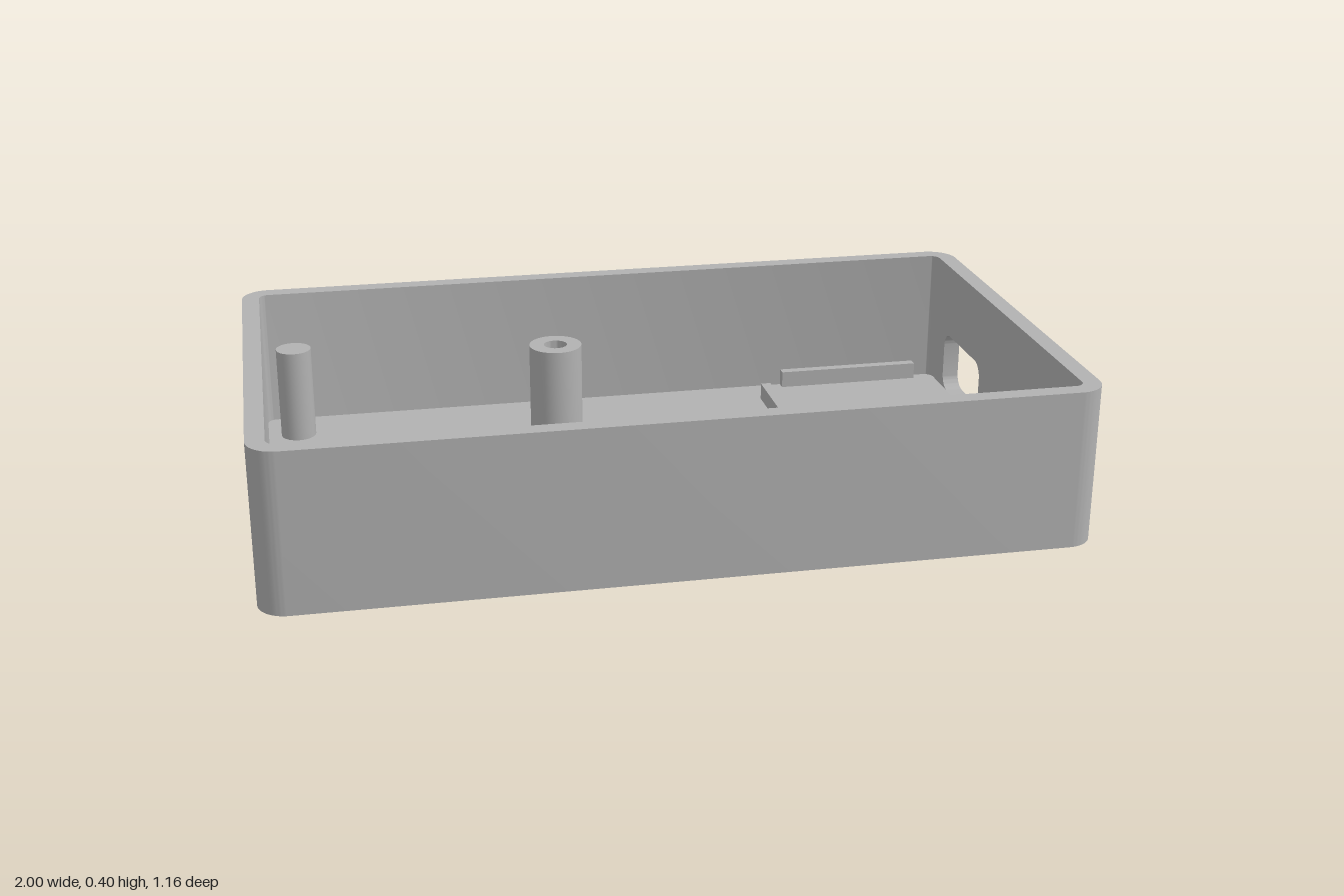
import * as THREE from 'three';
import { toCreasedNormals } from 'three/addons/utils/BufferGeometryUtils.js';

const W = 1, D = 0.58, H = 0.4;      // outer half width, half depth, height
const IW = 0.955, ID = 0.536;        // inner half sizes
const R = 0.07, IR = 0.025;          // outer and inner corner radii
const FLOOR = 0.04;

// Rounded rectangle between two corners
function roundedRect(path, x0, y0, x1, y1, r) {
  path.moveTo(x0 + r, y0);
  path.lineTo(x1 - r, y0);
  path.absarc(x1 - r, y0 + r, r, -Math.PI / 2, 0, false);
  path.lineTo(x1, y1 - r);
  path.absarc(x1 - r, y1 - r, r, 0, Math.PI / 2, false);
  path.lineTo(x0 + r, y1);
  path.absarc(x0 + r, y1 - r, r, Math.PI / 2, Math.PI, false);
  path.lineTo(x0, y0 + r);
  path.absarc(x0 + r, y0 + r, r, Math.PI, Math.PI * 1.5, false);
  return path;
}

function extrude(shape, depth) {
  const g = new THREE.ExtrudeGeometry(shape, { depth, bevelEnabled: false, curveSegments: 10 });
  return toCreasedNormals(g, 0.6);
}

export function createModel() {
  const model = new THREE.Group();
  model.name = 'enclosureTray';
  const plastic = new THREE.MeshStandardMaterial({ color: 0xb2b2b2 });
  plastic.name = 'grey plastic';

  const add = (name, geometry, x = 0, y = 0, z = 0) => {
    const mesh = new THREE.Mesh(geometry, plastic);
    mesh.name = name;
    mesh.position.set(x, y, z);
    model.add(mesh);
  };

  // Walls on three sides with all four corners, open where the port panel sits
  const E = 0.5;
  const wall = new THREE.Shape();
  wall.moveTo(W, E);
  wall.lineTo(W, D - R);
  wall.absarc(W - R, D - R, R, 0, Math.PI / 2, false);
  wall.lineTo(-W + R, D);
  wall.absarc(-W + R, D - R, R, Math.PI / 2, Math.PI, false);
  wall.lineTo(-W, -D + R);
  wall.absarc(-W + R, -D + R, R, Math.PI, Math.PI * 1.5, false);
  wall.lineTo(W - R, -D);
  wall.absarc(W - R, -D + R, R, -Math.PI / 2, 0, false);
  wall.lineTo(W, -E);
  wall.lineTo(IW, -E);
  wall.lineTo(IW, -ID + IR);
  wall.absarc(IW - IR, -ID + IR, IR, 0, -Math.PI / 2, true);
  wall.lineTo(-IW + IR, -ID);
  wall.absarc(-IW + IR, -ID + IR, IR, -Math.PI / 2, -Math.PI, true);
  wall.lineTo(-IW, ID - IR);
  wall.absarc(-IW + IR, ID - IR, IR, Math.PI, Math.PI / 2, true);
  wall.lineTo(IW - IR, ID);
  wall.absarc(IW - IR, ID - IR, IR, Math.PI / 2, 0, true);
  wall.lineTo(IW, E);
  add('walls', extrude(wall, H).rotateX(-Math.PI / 2));

  // Side panel with the rounded port opening
  const panel = new THREE.Shape();
  panel.moveTo(-E, 0);
  panel.lineTo(E, 0);
  panel.lineTo(E, H);
  panel.lineTo(-E, H);
  panel.holes.push(roundedRect(new THREE.Path(), 0.15, 0.04, 0.432, 0.204, 0.04));
  add('portPanel', extrude(panel, W - IW).rotateY(Math.PI / 2), IW);

  // Floor
  const floor = roundedRect(new THREE.Shape(), -IW, -ID, IW, ID, IR);
  add('floor', extrude(floor, FLOOR).rotateX(-Math.PI / 2));

  // Hollow screw posts
  const h = 0.245;
  const profile = [[0.07, 0], [0.07, h], [0.031, h], [0.031, 0]]
    .map(([r, y]) => new THREE.Vector2(r, y));
  for (const [x, z] of [[-0.185, -0.315], [-0.76, 0.322]]) {
    add('screwPost', toCreasedNormals(new THREE.LatheGeometry(profile, 32), 0.6), x, FLOOR, z);
  }

  // Solid pins: x, z, radius, height above the floor
  const pins = [
    [-0.875, -0.416, 0.046, h], [-0.08, 0.45, 0.046, h],
    [0.166, 0.222, 0.03, 0.09], [0.869, 0.222, 0.03, 0.09],
  ];
  for (const [x, z, r, height] of pins) {
    add('supportPin', new THREE.CylinderGeometry(r, r, height, 28), x, FLOOR + height / 2, z);
  }

  // Low ribs around the connector bay: x range, z range
  const ribs = [
    [0.5, 0.895, -0.538, -0.511],
    [0.5, 0.895, -0.082, -0.055],
    [0.417, 0.444, -0.434, -0.16],
  ];
  const ribH = 0.045;
  for (const [x0, x1, z0, z1] of ribs) {
    add('connectorRib', new THREE.BoxGeometry(x1 - x0, ribH, z1 - z0),
      (x0 + x1) / 2, FLOOR + ribH / 2, (z0 + z1) / 2);
  }
  return model;
}
